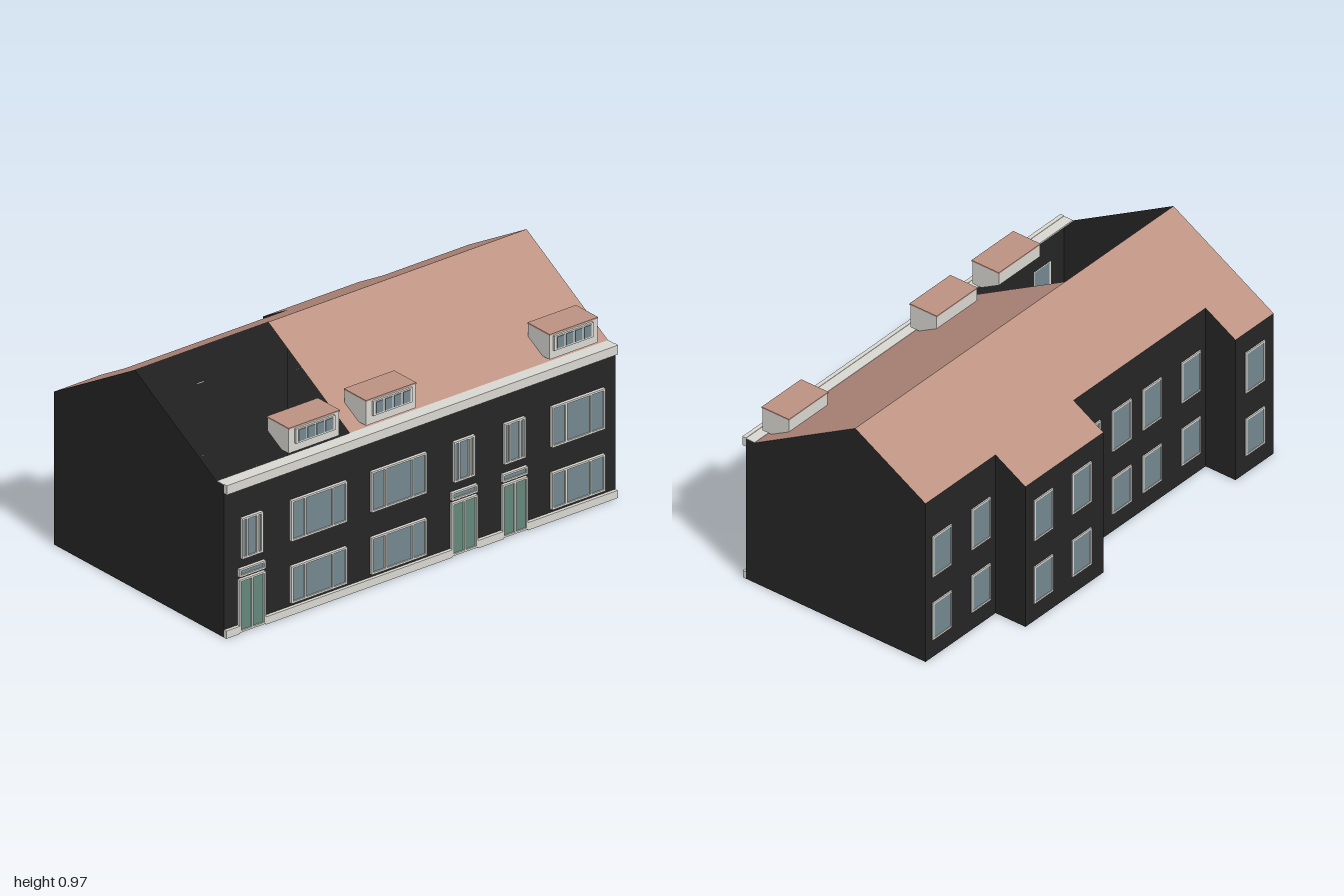
import * as THREE from 'three';

const mat = (name, color, side = THREE.FrontSide) => {
  const m = new THREE.MeshStandardMaterial({ color, side });
  m.name = name;
  return m;
};

// main dimensions
const FRONT = 0.53, BACK = -0.39, WING = -0.543, RIDGE = -0.03, EAVE = 0.675, EAVE_Z = 0.485;
const TOP = 0.97, SLOPE = (TOP - EAVE) / (EAVE_Z - RIDGE);
const roofY = (z) => TOP - SLOPE * Math.abs(z - RIDGE);

export function createModel() {
  const house = new THREE.Group();
  house.name = 'terraceHouses';
  const brick = mat('darkBrick', 0x252525, THREE.DoubleSide);
  const tile = mat('roofTile', 0xbb9181, THREE.DoubleSide);
  const cream = mat('creamTrim', 0xd8d7d1);
  const glass = mat('windowGlass', 0x73878f);
  const green = mat('doorGreen', 0x64877a);

  // flat polygon drawn as a fan from its first corner
  function face(name, material, pts, parent = house) {
    const g = new THREE.BufferGeometry();
    g.setAttribute('position', new THREE.Float32BufferAttribute(pts.flat(), 3));
    const index = [];
    for (let i = 1; i < pts.length - 1; i++) index.push(0, i, i + 1);
    g.setIndex(index);
    g.computeVertexNormals();
    const m = new THREE.Mesh(g, material);
    m.name = name;
    parent.add(m);
  }

  // box given by its extents
  function box(name, material, x0, x1, y0, y1, z0, z1, parent = house) {
    const m = new THREE.Mesh(new THREE.BoxGeometry(x1 - x0, y1 - y0, z1 - z0), material);
    m.position.set((x0 + x1) / 2, (y0 + y1) / 2, (z0 + z1) / 2);
    m.name = name;
    parent.add(m);
  }

  // framed panel on a wall at z; dir is the way it faces, posts are x positions of uprights
  function panel(name, fill, x0, x1, y0, y1, z, dir, posts = [], depth = 0.014, bar = 0.008) {
    const g = new THREE.Group();
    g.name = name;
    const zs = (d) => (dir > 0 ? [z, z + d] : [z - d, z]);
    box('pane', fill, x0 + bar / 2, x1 - bar / 2, y0 + bar / 2, y1 - bar / 2, ...zs(depth * 0.5), g);
    for (const y of [y0, y1 - bar]) box('rail', cream, x0, x1, y, y + bar, ...zs(depth), g);
    for (const x of [x0 + bar / 2, ...posts, x1 - bar / 2])
      box('upright', cream, x - bar / 2, x + bar / 2, y0 + bar, y1 - bar, ...zs(depth), g);
    house.add(g);
  }

  // gables, front wall and floor slab
  for (const [x, zb] of [[-1, WING], [1, BACK]])
    face('gableWall', brick, [[x, EAVE, EAVE_Z], [x, TOP, RIDGE], [x, roofY(zb), zb],
      [x, 0, zb], [x, 0, FRONT], [x, EAVE, FRONT]]);
  face('frontWall', brick, [[-1, 0, FRONT], [1, 0, FRONT], [1, EAVE, FRONT], [-1, EAVE, FRONT]]);

  // back bays alternate between projecting wing and recessed wall
  const bays = [[-1, -0.76, WING], [-0.76, 0.07, BACK], [0.07, 0.56, WING], [0.56, 1, BACK]];
  bays.forEach(([x0, x1, z], i) => {
    const y = roofY(z);
    face('backWall', brick, [[x1, 0, z], [x0, 0, z], [x0, y, z], [x1, y, z]]);
    face('floor', brick, [[x0, 0, z], [x1, 0, z], [x1, 0, FRONT], [x0, 0, FRONT]]);
    face('backRoof', tile, [[x1, y, z], [x0, y, z], [x0, TOP, RIDGE], [x1, TOP, RIDGE]]);
    if (i < 3) face('wingSideWall', brick, [[x1, 0, WING], [x1, roofY(WING), WING],
      [x1, roofY(BACK), BACK], [x1, 0, BACK]]);
  });

  // front roof covers only part of the row
  face('frontRoof', tile, [[-0.32, EAVE, EAVE_Z], [1, EAVE, EAVE_Z], [1, TOP, RIDGE], [-0.32, TOP, RIDGE]]);

  // gutter and eaves ledge
  box('gutter', cream, -1, 1, 0.638, 0.679, FRONT, 0.548);
  box('eavesLedge', cream, -1, 1, 0.67, 0.677, EAVE_Z, FRONT);

  // doors with transom lights, narrow windows above
  const doors = [[-0.93, -0.797], [0.155, 0.286], [0.415, 0.542]];
  for (const [x0, x1] of doors) {
    const c = (x0 + x1) / 2;
    panel('frontDoor', green, x0, x1, 0.004, 0.237, FRONT, 1, [c]);
    panel('transomLight', glass, x0, x1, 0.248, 0.284, FRONT, 1);
    panel('narrowWindow', glass, c - 0.053, c + 0.053, 0.325, 0.505, FRONT, 1, [c - 0.026, c + 0.026]);
  }

  // plinth pieces between the doors
  const ends = [-1, ...doors.flat(), 1];
  for (let i = 0; i < ends.length; i += 2)
    box('plinth', cream, ends[i], ends[i + 1], 0, 0.034, FRONT, 0.545);

  // wide front windows on both floors
  for (const [x0, x1] of [[-0.665, -0.38], [-0.255, 0.027], [0.667, 0.938]])
    for (const [y0, y1] of [[0.05, 0.213], [0.325, 0.505]])
      panel('wideWindow', glass, x0, x1, y0, y1, FRONT, 1, [x0 + 0.072, x1 - 0.072]);

  // back windows on both floors
  for (const x of [-0.88, -0.665, -0.42, -0.23, -0.035, 0.21, 0.45, 0.655, 0.9]) {
    const z = bays.find((b) => x > b[0] && x < b[1])[2];
    for (const [y0, y1] of [[0.085, 0.262], [0.387, 0.582]])
      panel('backWindow', glass, x - 0.06, x + 0.06, y0, y1, z, -1, [], 0.006);
  }

  // dormers: side profile extruded across, flat tiled top, strip of four panes
  for (const [x0, x1, w] of [[-0.645, -0.387, -0.515], [-0.25, 0.003, -0.12], [0.688, 0.932, 0.805]]) {
    const g = new THREE.Group();
    g.name = 'dormer';
    const side = new THREE.Shape([[0.5, 0.693], [0.5, 0.8], [0.365, 0.8], [0.365, roofY(0.365)],
      [0.455, 0.693]].map(([z, y]) => new THREE.Vector2(-z, y)));
    const geo = new THREE.ExtrudeGeometry(side, { depth: x1 - x0, bevelEnabled: false });
    geo.rotateY(Math.PI / 2);
    const body = new THREE.Mesh(geo, cream);
    body.name = 'dormerBody';
    body.position.x = x0;
    g.add(body);
    box('dormerRoof', tile, x0 - 0.002, x1 + 0.002, 0.8, 0.806, 0.363, 0.503, g);
    box('dormerWindowFrame', cream, w - 0.1, w + 0.1, 0.73, 0.795, 0.5, 0.51, g);
    for (let i = -1.5; i < 2; i++)
      box('dormerPane', glass, w + i * 0.046 - 0.019, w + i * 0.046 + 0.019, 0.738, 0.789, 0.51, 0.513, g);
    house.add(g);
  }
  return house;
}
